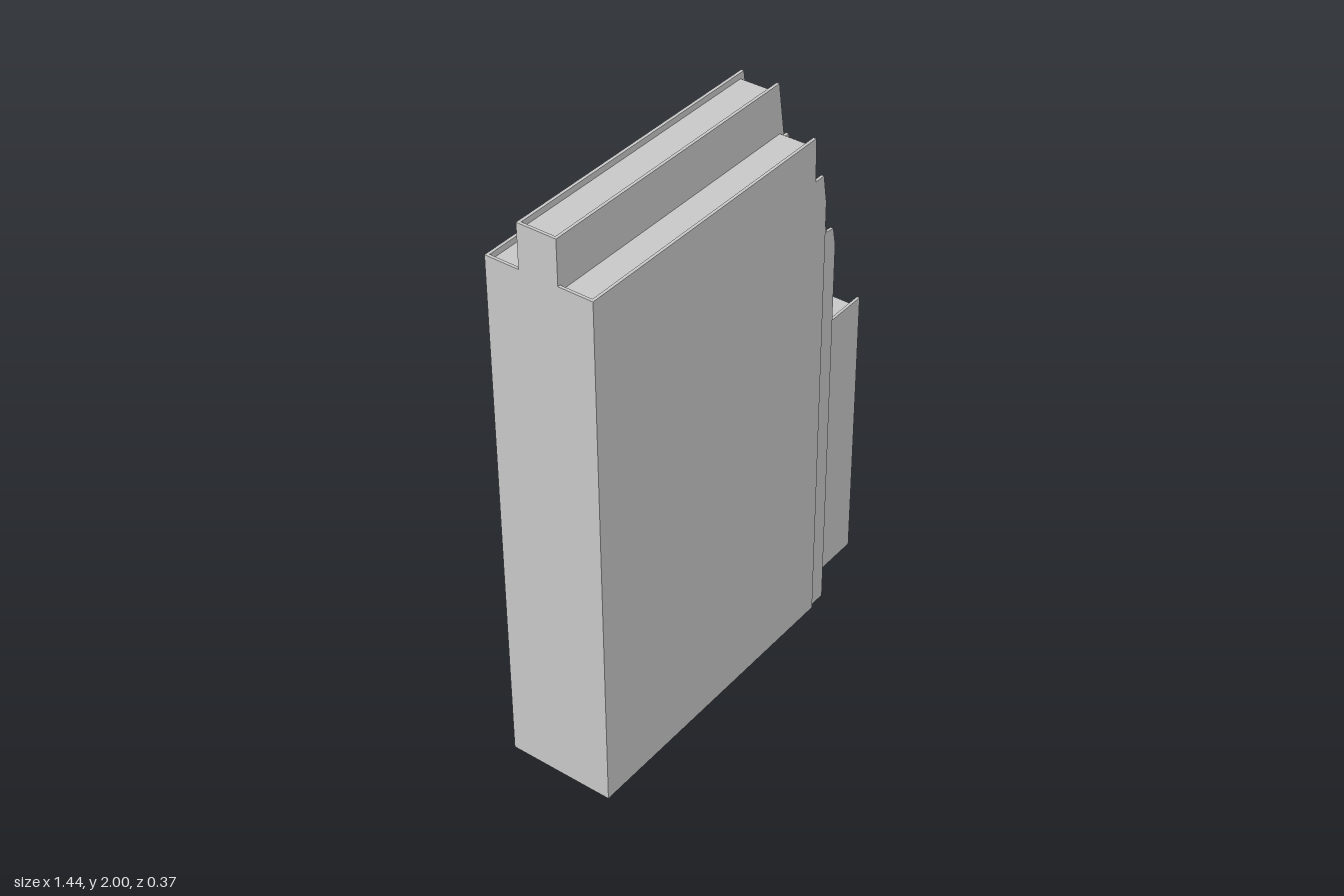
import * as THREE from 'three';

const material = new THREE.MeshStandardMaterial({ color: 0xcccccc, flatShading: true, side: THREE.DoubleSide });
const WALL = 0.01;

// Extrudes an x-y outline from z0 to z1
function slab(name, points, z0, z1) {
  const shape = new THREE.Shape(points.map(([x, y]) => new THREE.Vector2(x, y)));
  const geometry = new THREE.ExtrudeGeometry(shape, { depth: z1 - z0, bevelEnabled: false });
  geometry.translate(0, 0, z0);
  const mesh = new THREE.Mesh(geometry, material);
  mesh.name = name;
  return mesh;
}

// A tier is a recessed core held between two thin side walls
function tier(name, halfDepth, wallOutline, coreOutline) {
  const group = new THREE.Group();
  group.name = name;
  const inner = halfDepth - WALL;
  group.add(
    slab(name + 'FrontWall', wallOutline, inner, halfDepth),
    slab(name + 'BackWall', wallOutline, -halfDepth, -inner),
    slab(name + 'Core', coreOutline, -inner, inner)
  );
  return group;
}

export function createModel() {
  const model = new THREE.Group();
  model.name = 'tower';

  // Main slab with a notched shoulder at the stepped end
  model.add(tier('mainBlock', 0.187,
    [[-0.72, 0], [0.375, 0], [0.375, 1.6], [0.358, 1.7], [0.317, 1.7], [0.31, 1.85], [-0.72, 1.85]],
    [[-0.69, 0.02], [0.362, 0.02], [0.362, 1.55], [0.345, 1.68], [0.303, 1.68], [0.297, 1.83], [-0.69, 1.83]]));

  // Raised spine along the roof
  model.add(tier('roofSpine', 0.068,
    [[-0.72, 1.8], [0.3, 1.61], [0.318, 1.7], [0.318, 1.82], [0.29, 2], [-0.72, 2]],
    [[-0.69, 1.8], [0.29, 1.61], [0.3, 1.7], [0.298, 1.82], [0.274, 1.98], [-0.69, 1.98]]));

  // Lower step of the spine
  model.add(tier('spineStep', 0.06,
    [[0.27, 1.6], [0.378, 1.61], [0.355, 1.8], [0.27, 1.8]],
    [[0.27, 1.6], [0.36, 1.6], [0.338, 1.77], [0.27, 1.77]]));

  // Narrower step beside the main slab
  model.add(tier('sideStep', 0.178,
    [[0.35, 0], [0.445, 0], [0.445, 1.41], [0.432, 1.475], [0.395, 1.48], [0.379, 1.61], [0.35, 1.61]],
    [[0.35, 0.02], [0.428, 0.02], [0.428, 1.4], [0.418, 1.455], [0.38, 1.455], [0.364, 1.6], [0.35, 1.6]]));

  // Low wing
  model.add(tier('lowWing', 0.1,
    [[0.4, 0], [0.72, 0], [0.72, 1.03], [0.4, 1.03]],
    [[0.4, 0.02], [0.7, 0.02], [0.7, 1.01], [0.4, 1.01]]));

  // Flat end wall, standing off the cores
  const endWall = slab('endWall', [
    [-0.187, 0], [0.187, 0], [0.187, 1.85], [0.068, 1.85],
    [0.068, 2], [-0.068, 2], [-0.068, 1.85], [-0.187, 1.85]
  ], 0, WALL);
  endWall.rotation.y = Math.PI / 2;
  endWall.position.x = -0.72;
  model.add(endWall);

  return model;
}
